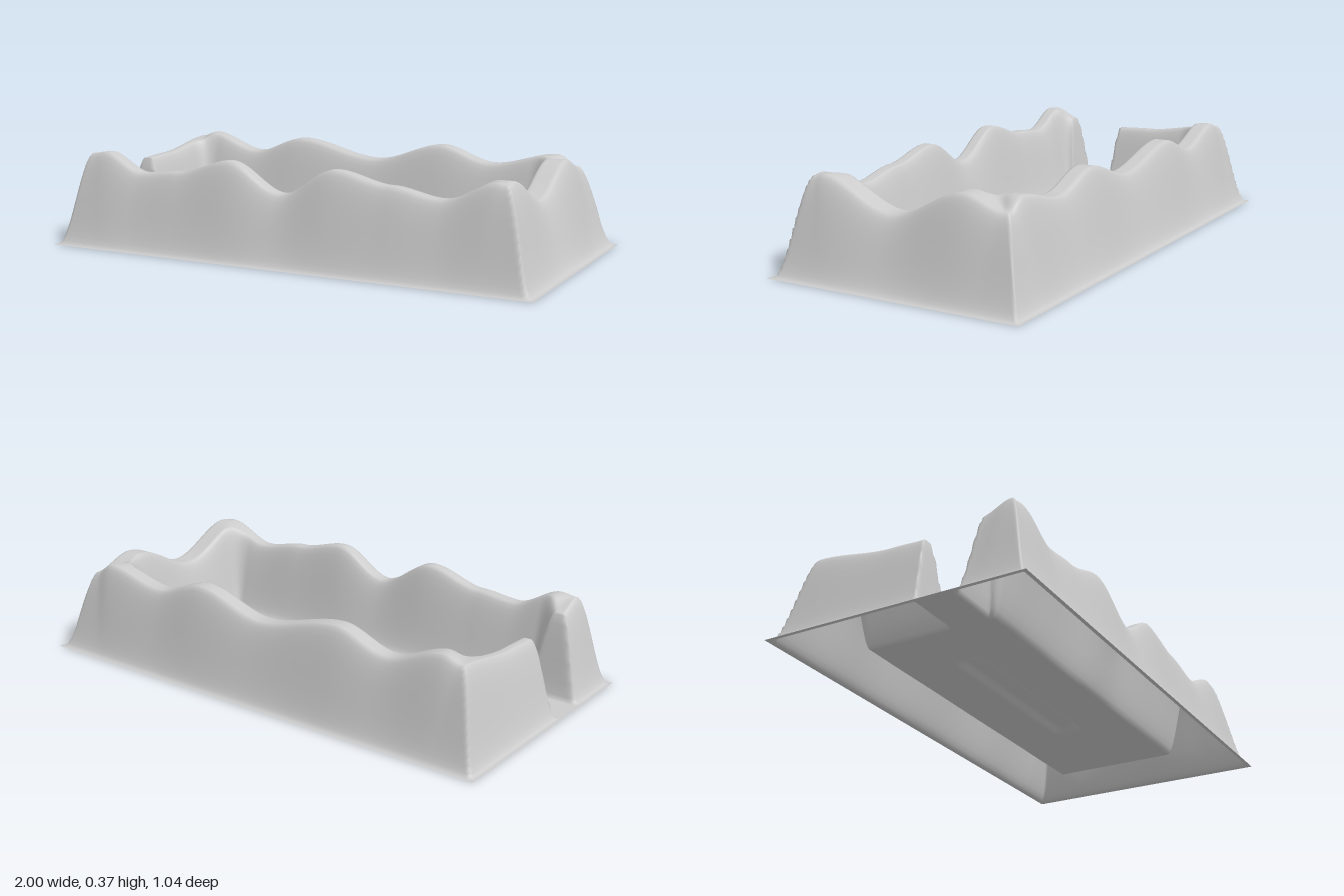
import * as THREE from 'three';

const HALF_X = 1, HALF_Z = 0.52;

// crest heights along each side of the bank: [position, height] at peaks and dips
const CREST = {
  front: [[-0.88, 0.362], [-0.82, 0.37], [-0.64, 0.297], [-0.48, 0.312], [-0.25, 0.37], [-0.02, 0.262],
    [0.2, 0.367], [0.42, 0.325], [0.62, 0.293], [0.83, 0.367], [0.87, 0.362]],
  back: [[-0.88, 0.345], [-0.8, 0.367], [-0.57, 0.3], [-0.35, 0.365], [0, 0.3], [0.3, 0.375],
    [0.52, 0.315], [0.78, 0.365], [0.87, 0.322]],
  right: [[-0.4, 0.322], [-0.23, 0.37], [0.06, 0.262], [0.36, 0.37], [0.4, 0.362]],
  left: [[-0.4, 0.345], [-0.08, 0.305], [0.06, 0.3], [0.28, 0.32], [0.4, 0.362]],
};

const smooth = THREE.MathUtils.smoothstep;

// smooth curve through the peaks and dips
function sample(list, p) {
  if (p <= list[0][0]) return list[0][1];
  for (let i = 1; i < list.length; i++) {
    const [p0, h0] = list[i - 1], [p1, h1] = list[i];
    if (p <= p1) return h0 + (h1 - h0) * smooth(p, p0, p1);
  }
  return list[list.length - 1][1];
}

// crest height anywhere, blended between the nearest sides
function crestHeight(x, z) {
  const sides = [
    [Math.abs(z - 0.4), sample(CREST.front, x)],
    [Math.abs(z + 0.4), sample(CREST.back, x)],
    [Math.abs(x - 0.86), sample(CREST.right, z)],
    [Math.abs(x + 0.88), sample(CREST.left, z)],
  ];
  let sum = 0, total = 0;
  for (const [d, h] of sides) {
    const w = 1 / (d ** 4 + 1e-7);
    sum += w * h;
    total += w;
  }
  return sum / total;
}

function groundHeight(x, z) {
  // outer slope, mitred at the corners
  const outer = Math.min(
    smooth(HALF_X - Math.abs(x), 0.013, x > 0 ? 0.14 : 0.12),
    smooth(HALF_Z - Math.abs(z), 0.012, 0.12));
  // inner slope, rounded at the corners of the floor
  const dx = Math.max(x - 0.69, -0.755 - x, 0);
  const dz = Math.max(z - 0.26, -0.245 - z, 0);
  const inner = smooth(Math.hypot(dx, dz), 0, 0.1);
  // entrance cut through one end
  const cut = x < -0.5 ? Math.max(1 - smooth(z, 0.055, 0.092), smooth(z, 0.245, 0.295)) : 1;
  // low mound along the middle of the floor
  const mound = 0.025 * smooth(x, -0.54, -0.46) * (1 - smooth(x, 0.22, 0.3))
    * (1 - smooth(Math.abs(z - 0.008), 0.028, 0.065));
  return crestHeight(x, z) * Math.min(outer, inner, cut) + mound;
}

export function createModel() {
  const group = new THREE.Group();
  group.name = 'earthBank';

  // one open sheet raised into the bank, floor and entrance
  const sheet = new THREE.PlaneGeometry(HALF_X * 2, HALF_Z * 2, 240, 128);
  sheet.rotateX(-Math.PI / 2);
  const pos = sheet.attributes.position;
  for (let i = 0; i < pos.count; i++) {
    pos.setY(i, groundHeight(pos.getX(i), pos.getZ(i)));
  }
  sheet.computeVertexNormals();

  const material = new THREE.MeshStandardMaterial({ color: 0xcccccc, side: THREE.DoubleSide });
  const bank = new THREE.Mesh(sheet, material);
  bank.name = 'bankAndFloor';
  group.add(bank);
  return group;
}
